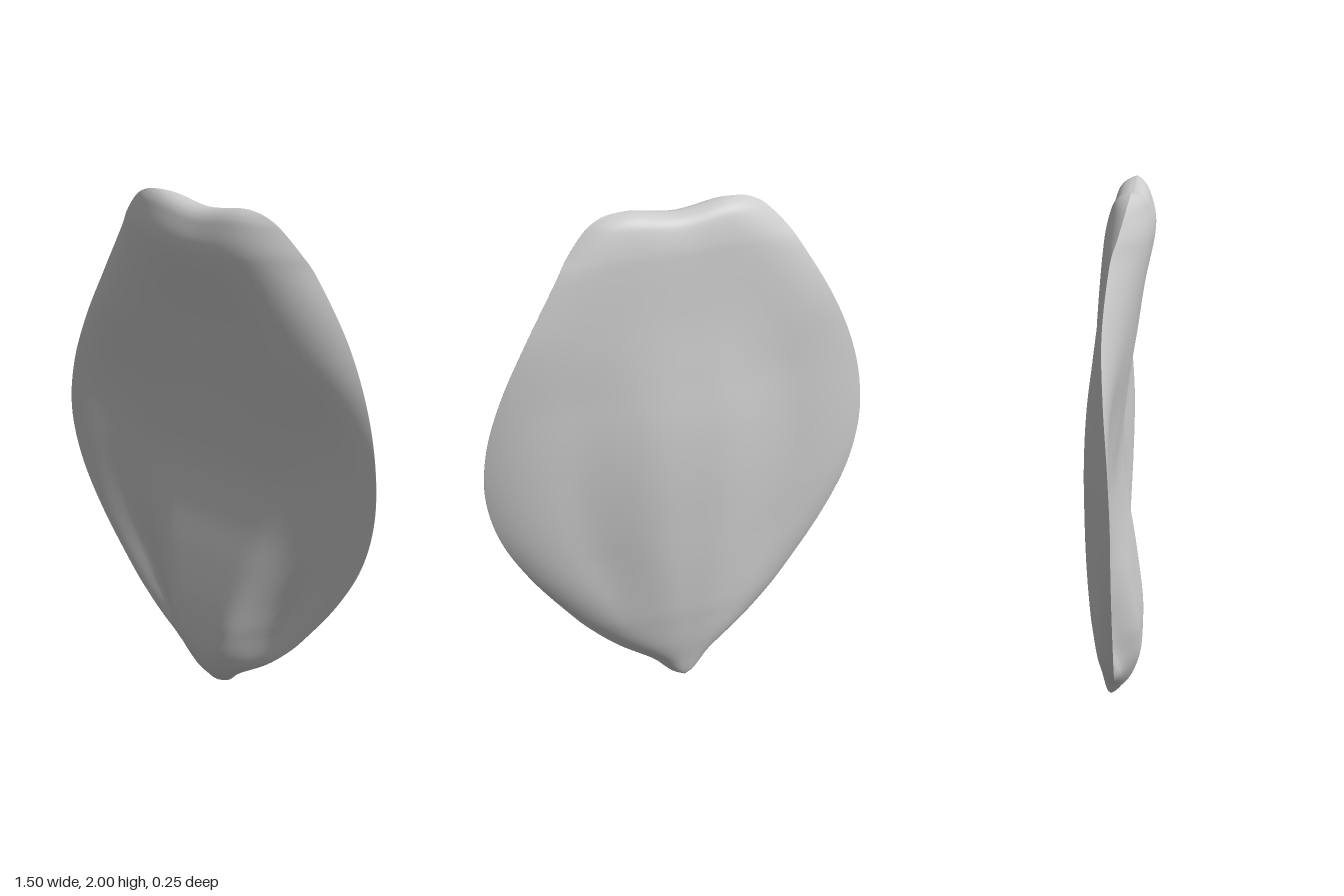
import * as THREE from 'three';
import { mergeVertices } from 'three/addons/utils/BufferGeometryUtils.js';

const { smoothstep: step, lerp } = THREE.MathUtils;

// Petal sections from tip to lip: height, half width, front z, back z, rim z
const sections = [
  [0, 0, -0.04, -0.04, -0.04],
  [0.02, 0.045, -0.01, -0.05, -0.03],
  [0.05, 0.08, 0.015, -0.058, -0.02],
  [0.1, 0.13, 0.052, -0.068, -0.012],
  [0.2, 0.265, 0.083, -0.087, -0.005],
  [0.3, 0.37, 0.087, -0.1, 0],
  [0.4, 0.455, 0.08, -0.111, 0.004],
  [0.6, 0.6, 0.048, -0.122, 0.01],
  [0.8, 0.705, 0.012, -0.126, 0.014],
  [1.0, 0.75, -0.003, -0.126, 0.015],
  [1.2, 0.735, 0.024, -0.115, 0.005],
  [1.4, 0.675, 0.06, -0.09, -0.012],
  [1.6, 0.58, 0.088, -0.064, -0.022],
  [1.8, 0.46, 0.121, -0.045, -0.005],
  [1.88, 0.405, 0.124, -0.036, 0.018],
  [1.95, 0.34, 0.106, -0.018, 0.038],
  [1.98, 0.295, 0.09, 0, 0.046],
  [1.995, 0.25, 0.07, 0.025, 0.05],
  [2.0, 0.2, 0.05, 0.05, 0.05],
];

function petalGeometry(rows, cols) {
  const spline = (i, j, k) => new THREE.CatmullRomCurve3(
    sections.map(s => new THREE.Vector3(s[i], s[j], s[k])), false, 'catmullrom', 0.5);
  const outline = spline(0, 1, 2), depth = spline(0, 3, 4);
  const pos = [], index = [];
  for (let r = 0; r <= rows; r++) {
    const { x: y, y: w, z: front } = outline.getPoint(r / rows);
    const { y: back, z: rim } = depth.getPoint(r / rows);
    const upper = step(y, 0.7, 1.6);
    const tip = 1 - step(y, 0.08, 0.35);
    const middle = step(y, 0.15, 0.7) * (1 - step(y, 1.3, 1.85));
    const channel = 0.018 * step(y, 1.0, 1.4) * (1 - step(y, 1.5, 1.82));
    const groove = 0.026 * step(y, 0.15, 0.5) * (1 - step(y, 1.1, 1.7));
    for (let c = 0; c < cols; c++) {
      const a = (c / cols) * Math.PI * 2;
      const u = Math.cos(a), m = Math.abs(u);
      let z;
      if (Math.sin(a) >= 0) {
        // Front: tongue low down, broad swelling with a channel below the lip, rounded tip
        const tongue = lerp(1 - step(m, 0.28, 0.76), 1 - u * u, tip);
        const bell = lerp(tongue, 1 - m ** 3.5, upper);
        z = rim + (front - rim) * bell
          - groove * step(m, 0.3, 0.65) * (1 - step(m, 0.65, 1))
          - channel * (1 - step(m, 0.1, 0.55));
      } else {
        // Back: thin wings with a deeper middle, evenly rounded at both ends
        const wings = 0.57 * (1 - m ** 5) + 0.43 * (1 - step(m, 0.12, 0.62));
        z = rim + (back - rim) * lerp(1 - m ** lerp(2.5, 5, upper), wings, middle);
      }
      // Shallow notch in the middle of the lip
      const x = u * w;
      const notch = 0.025 * step(y, 1.75, 2) * (1 - step(Math.abs(x), 0, 0.2));
      pos.push(Math.abs(x) < 1e-9 ? 0 : x, y - notch, z);
    }
  }
  for (let r = 0; r < rows; r++) {
    for (let c = 0; c < cols; c++) {
      const n = (c + 1) % cols;
      const a = r * cols + c, b = r * cols + n, d = a + cols, e = b + cols;
      if (r > 0) index.push(a, d, b);
      index.push(b, d, e);
    }
  }
  const geo = new THREE.BufferGeometry();
  geo.setAttribute('position', new THREE.Float32BufferAttribute(pos, 3));
  geo.setIndex(index);
  const merged = mergeVertices(geo, 1e-5);
  merged.computeVertexNormals();
  return merged;
}

export function createModel() {
  const group = new THREE.Group();
  group.name = 'flowerPetal';
  const petal = new THREE.Mesh(
    petalGeometry(126, 96),
    new THREE.MeshStandardMaterial({ color: 0xcccccc, side: THREE.DoubleSide }));
  petal.name = 'petal';
  group.add(petal);
  return group;
}
